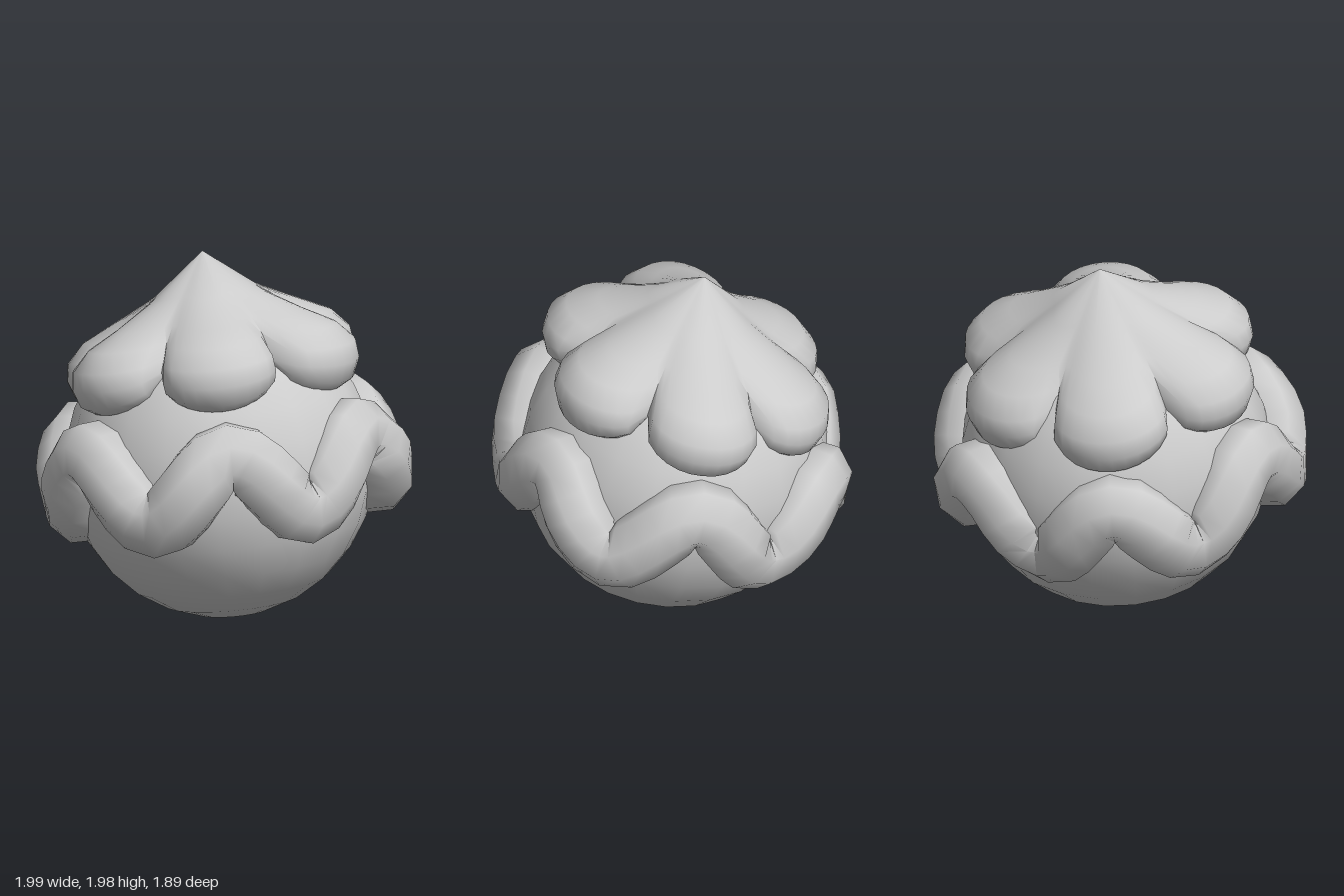
import * as THREE from 'three';
import { toCreasedNormals } from 'three/addons/utils/BufferGeometryUtils.js';

const material = new THREE.MeshStandardMaterial({ color: 0xcccccc, side: THREE.DoubleSide });

function part(name, geometry) {
  const mesh = new THREE.Mesh(geometry, material);
  mesh.name = name;
  return mesh;
}

// Radius of the band's centre line every 15 degrees from front to back, mirrored
const halfRadii = [0.75, 0.795, 0.785, 0.855, 0.825, 0.825, 0.805, 0.815, 0.765, 0.815, 0.8, 0.775, 0.705];
const radii = [...halfRadii, ...halfRadii.slice(1, -1).reverse()];

// Centre line of the band: six crests and six troughs
function bandPoint(a) {
  const u = THREE.MathUtils.euclideanModulo(a / (Math.PI * 2), 1) * radii.length;
  const k = Math.floor(u) % radii.length;
  const blend = THREE.MathUtils.smoothstep(u - Math.floor(u), 0, 1);
  const r = THREE.MathUtils.lerp(radii[k], radii[(k + 1) % radii.length], blend);
  const y = -0.172 * Math.cos(6 * a) - 0.025 * Math.cos(a) ** 2 + 0.004;
  return new THREE.Vector3(r * Math.sin(a), y, r * Math.cos(a));
}

// Eight-sided torus whose sections are moved onto the wavy centre line,
// mitred where neighbouring strands meet at a crest or trough
function wavyBand() {
  const sides = 8, segments = 72, thickness = 0.195, sector = Math.PI / 6;
  const geometry = new THREE.TorusGeometry(1, thickness, sides, segments);
  const pos = geometry.attributes.position;
  for (let i = 0; i < pos.count; i++) {
    const step = i % (segments + 1) % segments;
    const a = step / segments * Math.PI * 2;
    const v = (Math.floor(i / (segments + 1)) % sides + 0.5) / sides * Math.PI * 2;
    const out = new THREE.Vector3(Math.sin(a), 0, Math.cos(a));
    const tangent = bandPoint(a + 0.01).sub(bandPoint(a - 0.01));
    const up = out.clone().cross(tangent).normalize();
    const p = bandPoint(a)
      .addScaledVector(out, thickness * Math.cos(v))
      .addScaledVector(up, thickness * Math.sin(v));
    const turn = Math.atan2(p.x * out.z - p.z * out.x, p.x * out.x + p.z * out.z);
    const start = Math.floor(step / 6) * sector - a;
    const angle = a + (step % 6 === 0 ? 0 : THREE.MathUtils.clamp(turn, start, start + sector));
    const r = Math.hypot(p.x, p.z);
    pos.setXYZ(i, r * Math.sin(angle), p.y, r * Math.cos(angle));
  }
  return toCreasedNormals(geometry, 1.1);
}

// Pointed cap: the section blends between a petal's middle and the notch beside it,
// sharply at the rim and softly towards the tip; the back petals droop
function petalCap() {
  const petal = [[0.6, 0.42], [0.74, 0.38], [0.81, 0.42], [0.85, 0.52], [0.84, 0.62],
    [0.75, 0.72], [0.58, 0.8], [0.3, 0.93], [0, 1.155]];
  const notch = [[0.5, 0.55], [0.58, 0.57], [0.6, 0.58], [0.61, 0.6], [0.57, 0.66],
    [0.52, 0.74], [0.43, 0.82], [0.26, 0.95], [0, 1.155]];
  const softness = [0.5, 0.5, 0.5, 0.5, 0.5, 0.8, 1.5, 2, 2];
  const segments = 72;
  const geometry = new THREE.LatheGeometry(petal.map(p => new THREE.Vector2(...p)), segments);
  const pos = geometry.attributes.position;
  for (let i = 0; i < pos.count; i++) {
    const j = i % petal.length;
    const a = Math.floor(i / petal.length) / segments * Math.PI * 2;
    const w = Math.abs(Math.sin(3 * a)) ** softness[j];
    const r = THREE.MathUtils.lerp(notch[j][0], petal[j][0], w);
    const y = THREE.MathUtils.lerp(notch[j][1], petal[j][1], w);
    const z = 0.96 * r * Math.cos(a);
    pos.setXYZ(i, r * Math.sin(a), y + z * (z < 0 ? 0.08 : 0.02), z + 0.015);
  }
  return toCreasedNormals(geometry, 1.1);
}

export function createModel() {
  const model = new THREE.Group();
  model.name = 'cappedBall';

  // Everything shares one axis that leans slightly to the back
  const tilted = new THREE.Group();
  tilted.name = 'tiltedBody';
  tilted.position.set(0, 0.83, -0.01);
  tilted.rotation.x = -0.16;
  tilted.add(
    part('body', new THREE.SphereGeometry(0.835, 20, 14)),
    part('wavyBand', wavyBand()),
    part('petalCap', petalCap()),
  );
  model.add(tilted);
  return model;
}
